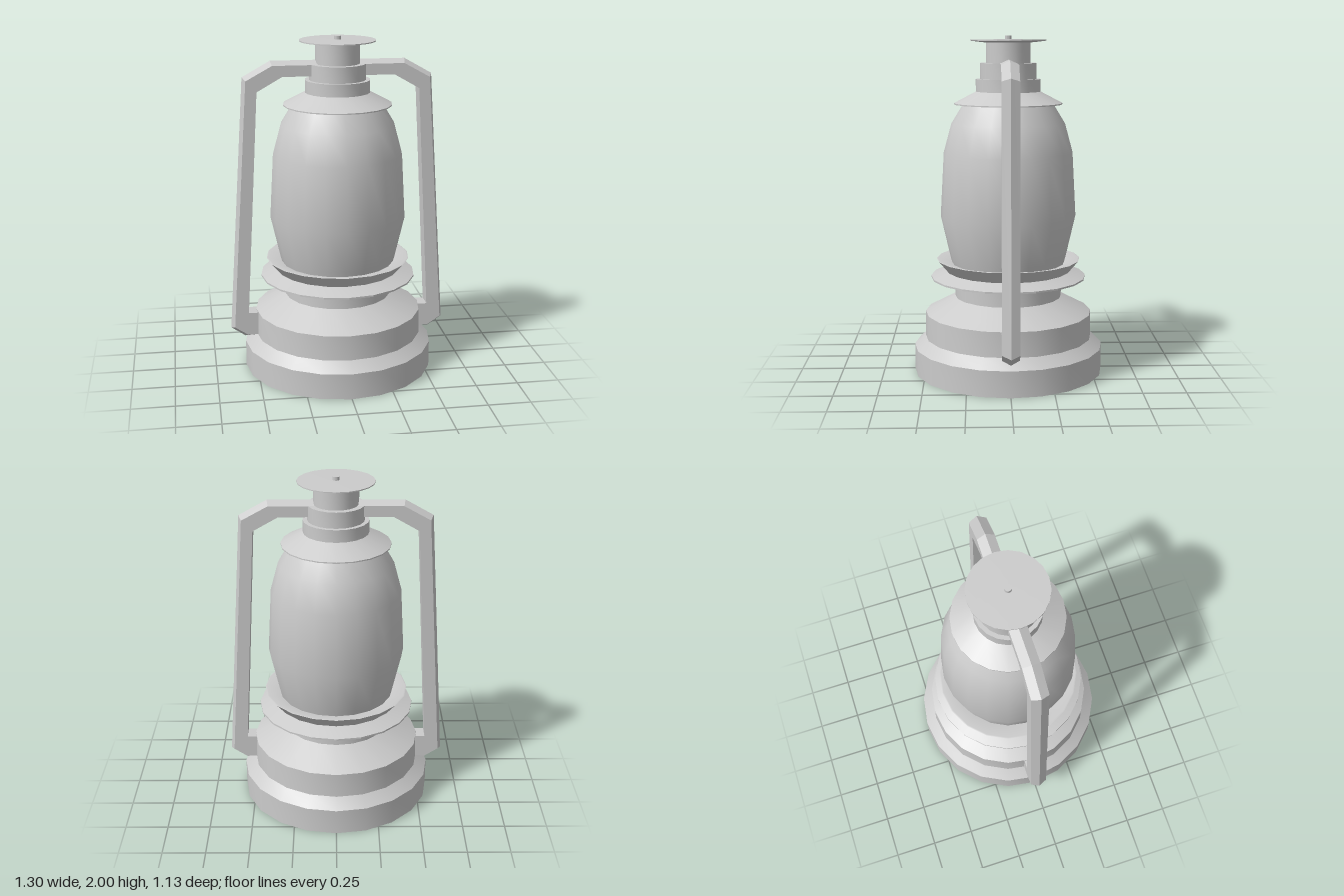
import * as THREE from 'three';
import { toCreasedNormals } from 'three/addons/utils/BufferGeometryUtils.js';

const SIDES = 20;
const material = new THREE.MeshStandardMaterial({ color: 0xcccccc, side: THREE.DoubleSide });

// Turned part from a bottom-to-top [radius, height] profile
function turned(name, profile, crease = 0.55) {
  const points = profile.map(([r, y]) => new THREE.Vector2(r, y));
  const geometry = toCreasedNormals(new THREE.LatheGeometry(points, SIDES), crease);
  const mesh = new THREE.Mesh(geometry, material);
  mesh.name = name;
  return mesh;
}

// Bent bar with a flat inner face and a ridged outer face
function sideHandle(name) {
  const halfDepth = 0.05;
  // Each station: ridge, shoulder and inner points as [x, y]
  const stations = [
    [[0.1, 1.865], [0.1, 1.842], [0.1, 1.778]],
    [[0.39, 1.865], [0.382, 1.842], [0.325, 1.778]],
    [[0.552, 1.774], [0.534, 1.758], [0.472, 1.694]],
    [[0.652, 0.248], [0.631, 0.266], [0.546, 0.354]],
    [[0.567, 0.19], [0.552, 0.214], [0.52, 0.354]],
    [[0.42, 0.2], [0.42, 0.22], [0.42, 0.354]],
  ];
  const positions = [];
  for (const [ridge, shoulder, inner] of stations) {
    positions.push(...ridge, 0, ...shoulder, halfDepth, ...inner, halfDepth,
      ...inner, -halfDepth, ...shoulder, -halfDepth);
  }
  const index = [];
  for (let i = 0; i < stations.length - 1; i++) {
    for (let j = 0; j < 5; j++) {
      const a = i * 5 + j, b = i * 5 + (j + 1) % 5;
      index.push(a, b, a + 5, b, b + 5, a + 5);
    }
  }
  const geometry = new THREE.BufferGeometry();
  geometry.setAttribute('position', new THREE.Float32BufferAttribute(positions, 3));
  geometry.setIndex(index);
  const mesh = new THREE.Mesh(toCreasedNormals(geometry, 0.3), material);
  mesh.name = name;
  return mesh;
}

export function createModel() {
  const lantern = new THREE.Group();
  lantern.name = 'lantern';

  // Stepped fuel tank and its neck
  lantern.add(turned('fuelTank', [
    [0, 0], [0.565, 0], [0.565, 0.155], [0.5, 0.212], [0.497, 0.36],
    [0.318, 0.455], [0.318, 0.58], [0, 0.58],
  ]));

  // Wide drip flange and the flared cup that seats the glass
  lantern.add(turned('burnerFlange', [
    [0, 0.57], [0.462, 0.57], [0.462, 0.58], [0.37, 0.612], [0, 0.612],
  ], 0.3));
  lantern.add(turned('burnerCup', [
    [0, 0.6], [0.365, 0.608], [0.428, 0.683], [0.42, 0.685], [0.335, 0.66], [0, 0.66],
  ]));

  // Bulged glass globe
  lantern.add(turned('glassGlobe', [
    [0.335, 0.655], [0.345, 0.69], [0.402, 0.94], [0.381, 1.32],
    [0.335, 1.49], [0.265, 1.605],
  ], 0.7));

  // Hood and stepped collars
  lantern.add(turned('hood', [
    [0, 1.603], [0.318, 1.603], [0.318, 1.61], [0.19, 1.677], [0.19, 1.75],
    [0.165, 1.75], [0.165, 1.843], [0, 1.843],
  ]));

  // Chimney with disc cap and small knob
  lantern.add(turned('chimney', [[0.13, 1.8], [0.13, 1.97]]));
  lantern.add(turned('chimneyCap', [
    [0, 1.962], [0.15, 1.962], [0.222, 1.971], [0.222, 1.977], [0, 1.98],
  ], 0.3));
  lantern.add(turned('capKnob', [[0.02, 1.97], [0.02, 2], [0, 2]]));

  // Side bars joining chimney and tank
  const left = sideHandle('leftHandle');
  const right = sideHandle('rightHandle');
  right.rotation.y = Math.PI;
  lantern.add(left, right);

  return lantern;
}
